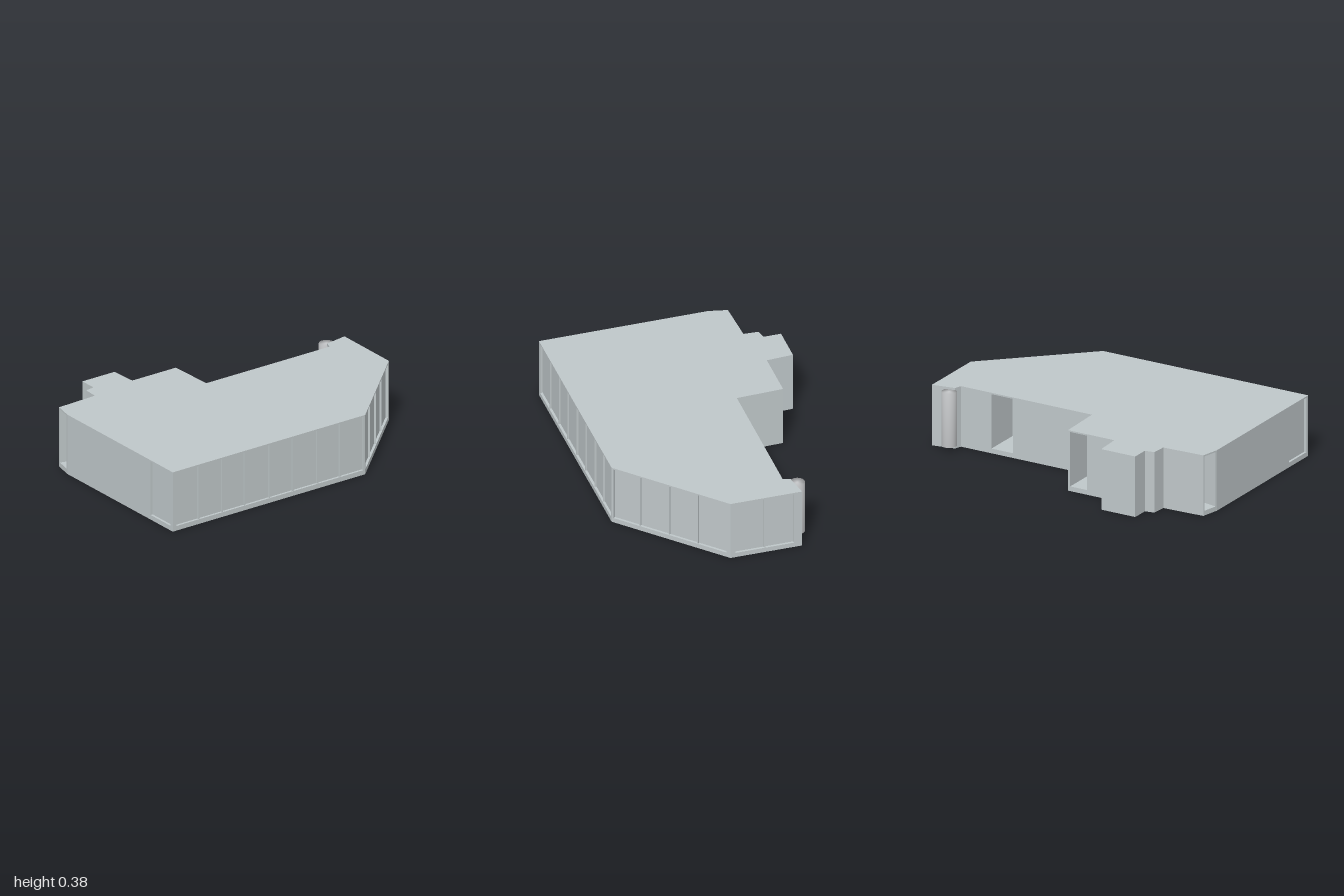
import * as THREE from 'three';

const FLOOR = 0.03, CEILING = 0.375, TOP = 0.384, RECESS = 0.015;

// Footprint corners [x, z] in order; a corner may open the wall that starts there:
// from/to are fractions along that wall, depth the recess, bars the mullion fractions.
const WALLS = [
  { p: [-0.995, 0.69], from: 0.018, to: 0.99, depth: RECESS, bars: [0.138, 0.261, 0.378, 0.507, 0.628, 0.756, 0.873] },
  { p: [0.42, 0.685], from: 0.018, to: 0.965, depth: RECESS, bars: [0.235, 0.48, 0.72] },
  { p: [1, 0.13], from: 0.067, to: 0.888, depth: RECESS, bars: [0.483] },
  { p: [1, -0.315] },
  { p: [0.855, -0.29] },
  { p: [0.84, -0.245], from: 0.232, to: 0.398, depth: 0.24 },
  { p: [-0.065, -0.245] },
  { p: [-0.075, -0.535], from: 0.047, to: 0.406, depth: 0.22 },
  { p: [-0.395, -0.535] },
  { p: [-0.405, -0.7] },
  { p: [-0.64, -0.7] },
  { p: [-0.64, -0.59] },
  { p: [-0.7, -0.58] },
  { p: [-0.705, -0.487] },
  { p: [-0.975, -0.476], from: 0.1, to: 0.9, depth: 0.12 },
  { p: [-1, -0.36], from: 0.79, to: 0.98, depth: RECESS },
];

// Plan coordinates use y = -z so that the outline runs counter-clockwise
const corner = (i) => {
  const [x, z] = WALLS[i % WALLS.length].p;
  return new THREE.Vector2(x, -z);
};

function along(i, t, depth = 0) {
  const a = corner(i), b = corner(i + 1);
  const d = b.clone().sub(a).normalize();
  return a.lerp(b, t).add(new THREE.Vector2(-d.y, d.x).multiplyScalar(depth));
}

function layer(points, y0, y1) {
  const g = new THREE.ExtrudeGeometry(new THREE.Shape(points), { depth: y1 - y0, bevelEnabled: false });
  return g.rotateX(-Math.PI / 2).translate(0, y0, 0);
}

export function createModel() {
  const group = new THREE.Group();
  const wallMaterial = new THREE.MeshStandardMaterial({ color: 0xbfc7c9 });
  wallMaterial.name = 'pale grey wall';
  const columnMaterial = new THREE.MeshStandardMaterial({ color: 0xc8cacc });
  columnMaterial.name = 'light grey column';

  const add = (name, geometry, material = wallMaterial) => {
    const mesh = new THREE.Mesh(geometry, material);
    mesh.name = name;
    group.add(mesh);
    return mesh;
  };

  // Floor and roof slabs follow the full outline; the walls have recesses cut in
  const outline = WALLS.map((_, i) => corner(i));
  const recessed = WALLS.flatMap(({ from, to, depth }, i) => depth
    ? [corner(i), along(i, from), along(i, from, depth), along(i, to, depth), along(i, to)]
    : [corner(i)]);
  add('floorSlab', layer(outline, 0, FLOOR));
  add('walls', layer(recessed, FLOOR, CEILING));
  add('roofSlab', layer(outline, CEILING, TOP));

  // Mullions between the window panes
  WALLS.forEach(({ bars = [] }, i) => {
    const d = corner(i + 1).sub(corner(i));
    for (const t of bars) {
      const c = along(i, t, RECESS - 0.005);
      const bar = add('windowMullion', new THREE.BoxGeometry(0.009, CEILING - FLOOR, 0.012));
      bar.position.set(c.x, (FLOOR + CEILING) / 2, -c.y);
      bar.rotation.y = Math.atan2(d.y, d.x);
    }
  });

  // Round column with soft shading over its ends
  const profile = [[0, 0.028], [0.046, 0.028], [0.046, 0.37], [0, 0.37]].map(([r, y]) => new THREE.Vector2(r, y));
  add('column', new THREE.LatheGeometry(profile, 32), columnMaterial).position.set(0.875, 0, -0.324);

  return group;
}
